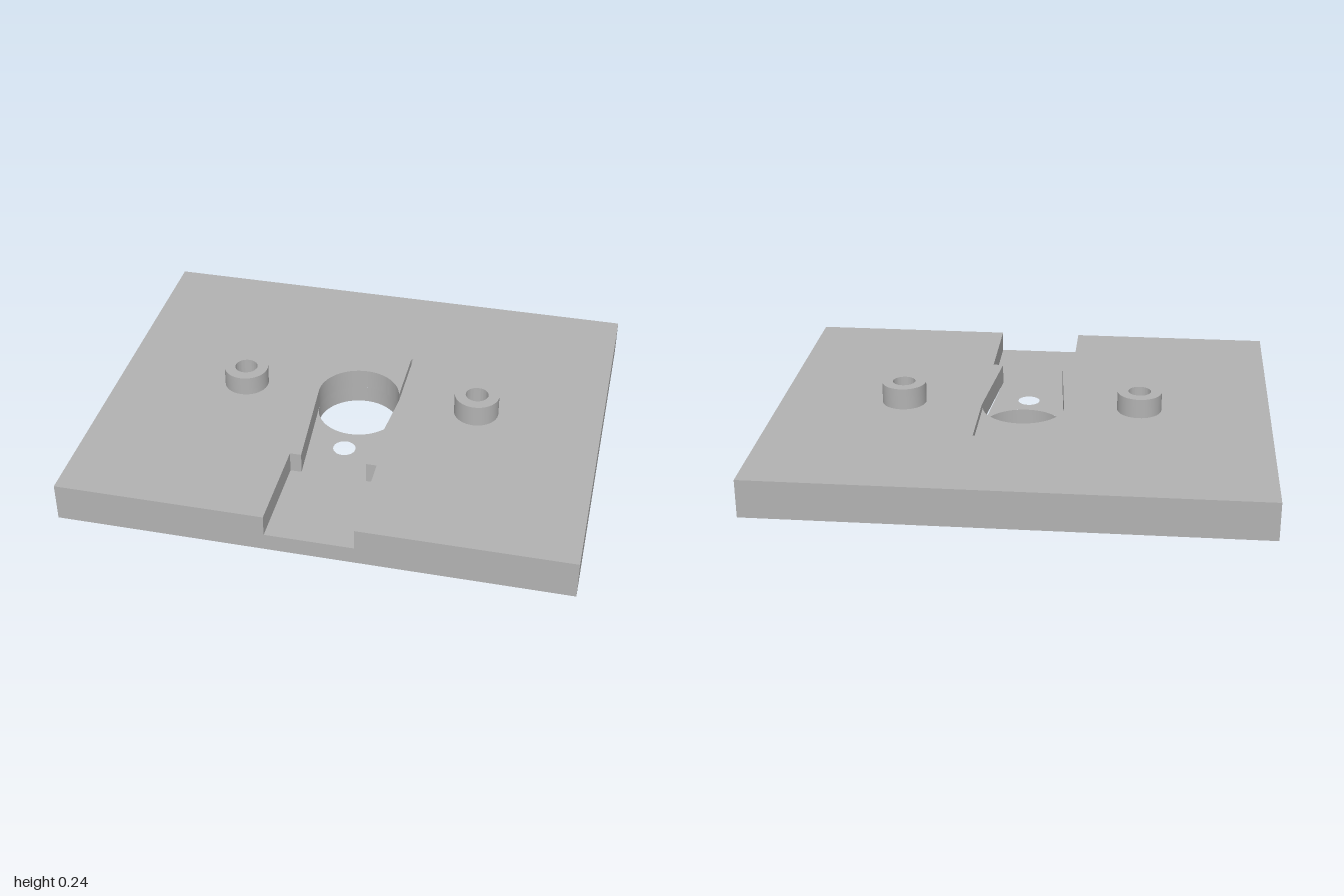
import * as THREE from 'three';
import { toCreasedNormals } from 'three/addons/utils/BufferGeometryUtils.js';

const FLOOR = 0.07, TOP = 0.155;      // channel floor and plate top heights
const R = 0.166, ZC = -0.037;         // main hole

// Points on the main hole as [x, z]; positive angles lie towards the front
function arc(from, to, n = 48) {
  return Array.from({ length: n + 1 }, (_, i) => {
    const a = from + (to - from) * i / n;
    return [R * Math.cos(a), ZC + R * Math.sin(a)];
  });
}

// Plan coordinates [x, z] become shape coordinates (x, -z)
const plan = (pts) => pts.map(([x, z]) => new THREE.Vector2(x, -z));

function smallHole() {
  return new THREE.Path().absarc(0, -0.225, 0.045, 0, Math.PI * 2, true);
}

// Extruded layer without the cap at height skipY, where layers join
function layer(shape, y0, y1, skipY) {
  const src = new THREE.ExtrudeGeometry(shape, { depth: y1 - y0, bevelEnabled: false, curveSegments: 32 });
  src.rotateX(-Math.PI / 2).translate(0, y0, 0);
  const p = src.attributes.position, kept = [];
  for (let i = 0; i < p.count; i += 3) {
    const joined = [0, 1, 2].every((k) => Math.abs(p.getY(i + k) - skipY) < 1e-5);
    if (!joined) for (let k = 0; k < 3; k++) kept.push(p.getX(i + k), p.getY(i + k), p.getZ(i + k));
  }
  const g = new THREE.BufferGeometry();
  g.setAttribute('position', new THREE.Float32BufferAttribute(kept, 3));
  return toCreasedNormals(g, 0.5);
}

export function createModel() {
  const group = new THREE.Group();
  const grey = new THREE.MeshStandardMaterial({ color: 0xb2b2b2 });
  grey.name = 'grey';
  const add = (name, geometry) => {
    const mesh = new THREE.Mesh(geometry, grey);
    mesh.name = name;
    group.add(mesh);
    return mesh;
  };

  // Narrow slit running back from the side of the main hole
  const slit = [[0.172, -0.03], [0.172, -0.335], [0.164, -0.335]];
  const leftEdge = [[-0.13, 0.41], [-0.175, 0.41], [-0.175, 0.805]];
  const rightEdge = [[0.172, 0.805], [0.172, 0.41], [0.13, 0.41]];

  // Lower plate with through holes
  const corners = [[-1, 0.805], [-1, -0.805], [1, -0.805], [1, 0.805]];
  const lower = new THREE.Shape(plan(corners));
  lower.holes.push(
    new THREE.Path(plan([...slit, ...arc(-0.16, 0.05 - Math.PI * 2, 64)])),
    smallHole(),
  );
  add('lowerPlate', layer(lower, 0, FLOOR, FLOOR));

  // Upper plate, cut by the channel from the front edge to the main hole
  const upper = new THREE.Shape(plan([
    ...corners, ...rightEdge, ...slit, ...arc(-0.16, -Math.PI - 0.1), ...leftEdge,
  ]));
  add('upperPlate', layer(upper, FLOOR, TOP, FLOOR));

  // Channel floor
  const floor = new THREE.Shape(plan([...rightEdge, ...arc(0.05, Math.PI - 0.1, 32), ...leftEdge]));
  floor.holes.push(smallHole());
  add('channelFloor', new THREE.ShapeGeometry(floor, 32).rotateX(-Math.PI / 2).translate(0, FLOOR, 0));

  // Hollow round bosses on either side
  for (const [name, x, h] of [['rightBoss', -0.472, 0.08], ['leftBoss', 0.493, 0.088]]) {
    const profile = [[0.09, 0], [0.09, h], [0.046, h], [0.046, 0.001], [0, 0.001]]
      .map(([r, y]) => new THREE.Vector2(r, y));
    const boss = add(name, toCreasedNormals(new THREE.LatheGeometry(profile, 48), 0.5));
    boss.position.set(x, TOP, -0.018);
  }
  return group;
}
